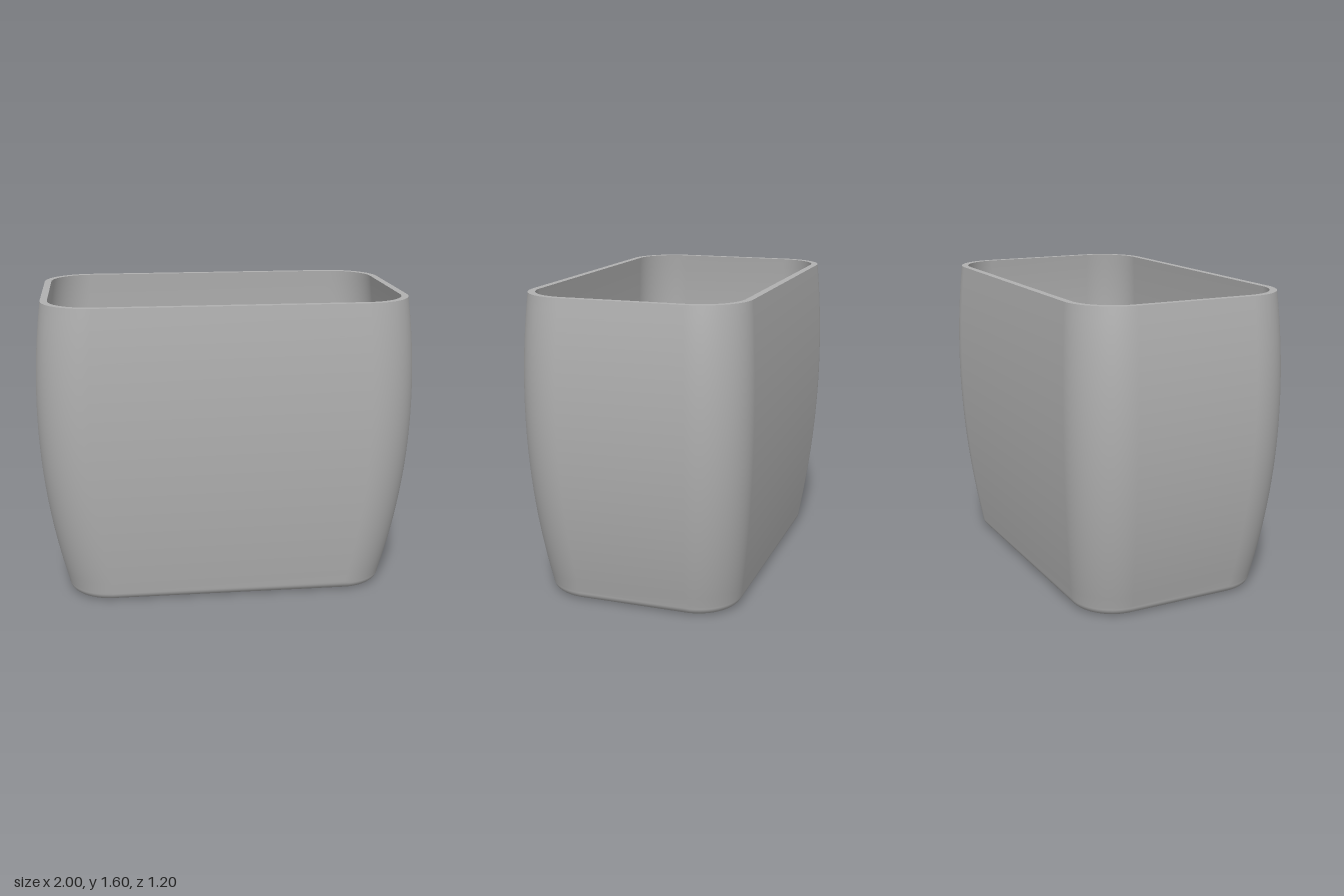
import * as THREE from 'three';

const HEIGHT = 1.6, WALL = 0.037, BASE_ROUND = 0.05, FLOOR_ROUND = 0.03;

// Bulge of the wall: 1 at the widest height, less above and below
const bulge = (y) => 1 - (y - 1.05) ** 2 / 7.6;

// Rounded rectangle at height y, moved inwards by d, counterclockwise from above
function section(y, d, s = bulge(y)) {
  const r = 0.27 * s - d, cx = s - d - r, cz = 0.602 * s - d - r, n = 14, pts = [];
  [[1, 1], [-1, 1], [-1, -1], [1, -1]].forEach(([sx, sz], q) => {
    for (let i = 0; i <= n; i++) {
      const a = (q + i / n) * Math.PI / 2;
      pts.push(new THREE.Vector3(sx * cx + r * Math.cos(a), y, -(sz * cz + r * Math.sin(a))));
    }
  });
  return pts;
}

function circle(x, z, r, y) {
  return Array.from({ length: 64 }, (_, i) => {
    const a = i / 64 * Math.PI * 2;
    return new THREE.Vector3(x + r * Math.cos(a), y, z - r * Math.sin(a));
  });
}

// Closed skin through a list of rings; rising rings face outwards
function loft(rings) {
  const n = rings[0].length, index = [];
  for (let j = 0; j < rings.length - 1; j++) {
    for (let i = 0; i < n; i++) {
      const a = j * n + i, b = j * n + (i + 1) % n;
      index.push(a, b, b + n, a, b + n, a + n);
    }
  }
  const g = new THREE.BufferGeometry().setFromPoints(rings.flat());
  g.setIndex(index);
  g.computeVertexNormals();
  return g;
}

// Flat plate with round holes, facing up or down
function plate(outline, holes, y, up) {
  const flat = (pts) => pts.map((p) => new THREE.Vector2(p.x, up ? -p.z : p.z));
  const shape = new THREE.Shape(flat(outline));
  holes.forEach((h) => shape.holes.push(new THREE.Path(flat(h))));
  return new THREE.ShapeGeometry(shape).rotateX(up ? -Math.PI / 2 : Math.PI / 2).translate(0, y, 0);
}

export function createModel() {
  const group = new THREE.Group();
  const grey = new THREE.MeshStandardMaterial({ color: 0xb0b0b0 });
  grey.name = 'grey';
  const add = (name, geometry) => {
    const mesh = new THREE.Mesh(geometry, grey);
    mesh.name = name;
    group.add(mesh);
  };

  // Outer wall: flat lip, rounded base edge, then the bulging side
  const rounded = (y0, r, d0, a) =>
    section(y0 + r * (1 - Math.sin(a)), d0 + r * (1 - Math.cos(a)), bulge(y0 + r));
  const outer = [section(0, BASE_ROUND + 0.01, bulge(BASE_ROUND))];
  for (let i = 8; i > 0; i--) outer.push(rounded(0, BASE_ROUND, 0, i / 8 * Math.PI / 2));
  for (let i = 0; i <= 28; i++) outer.push(section(BASE_ROUND + (HEIGHT - BASE_ROUND) * i / 28, 0));
  add('outerWall', loft(outer));

  // Flat top rim
  add('rim', loft([section(HEIGHT, 0), section(HEIGHT, WALL)]));

  // Inner wall, from the rim down to the rounded floor edge
  const inner = [], low = WALL + FLOOR_ROUND;
  for (let i = 0; i <= 28; i++) inner.push(section(HEIGHT + (low - HEIGHT) * i / 28, WALL));
  for (let i = 1; i <= 6; i++) inner.push(rounded(WALL, FLOOR_ROUND, WALL, i / 6 * Math.PI / 2));
  inner.push(section(WALL, WALL + FLOOR_ROUND + 0.01, bulge(low)));
  add('innerWall', loft(inner));

  // Floor and underside with one large and three small holes: x, z, radius
  const holes = [[0.46, 0, 0.29], [-0.13, 0, 0.195], [-0.58, -0.225, 0.195], [-0.58, 0.225, 0.195]];
  const chamfer = 0.013;
  add('floor', plate(inner.at(-1), holes.map(([x, z, r]) => circle(x, z, r, 0)), WALL, true));
  add('underside', plate(outer[0], holes.map(([x, z, r]) => circle(x, z, r + chamfer, 0)), 0, false));

  // Hole walls with a chamfered lower edge
  for (const [x, z, r] of holes) {
    add('holeWall', loft([circle(x, z, r, WALL), circle(x, z, r, chamfer)]));
    add('holeChamfer', loft([circle(x, z, r, chamfer), circle(x, z, r + chamfer, 0)]));
  }
  return group;
}
